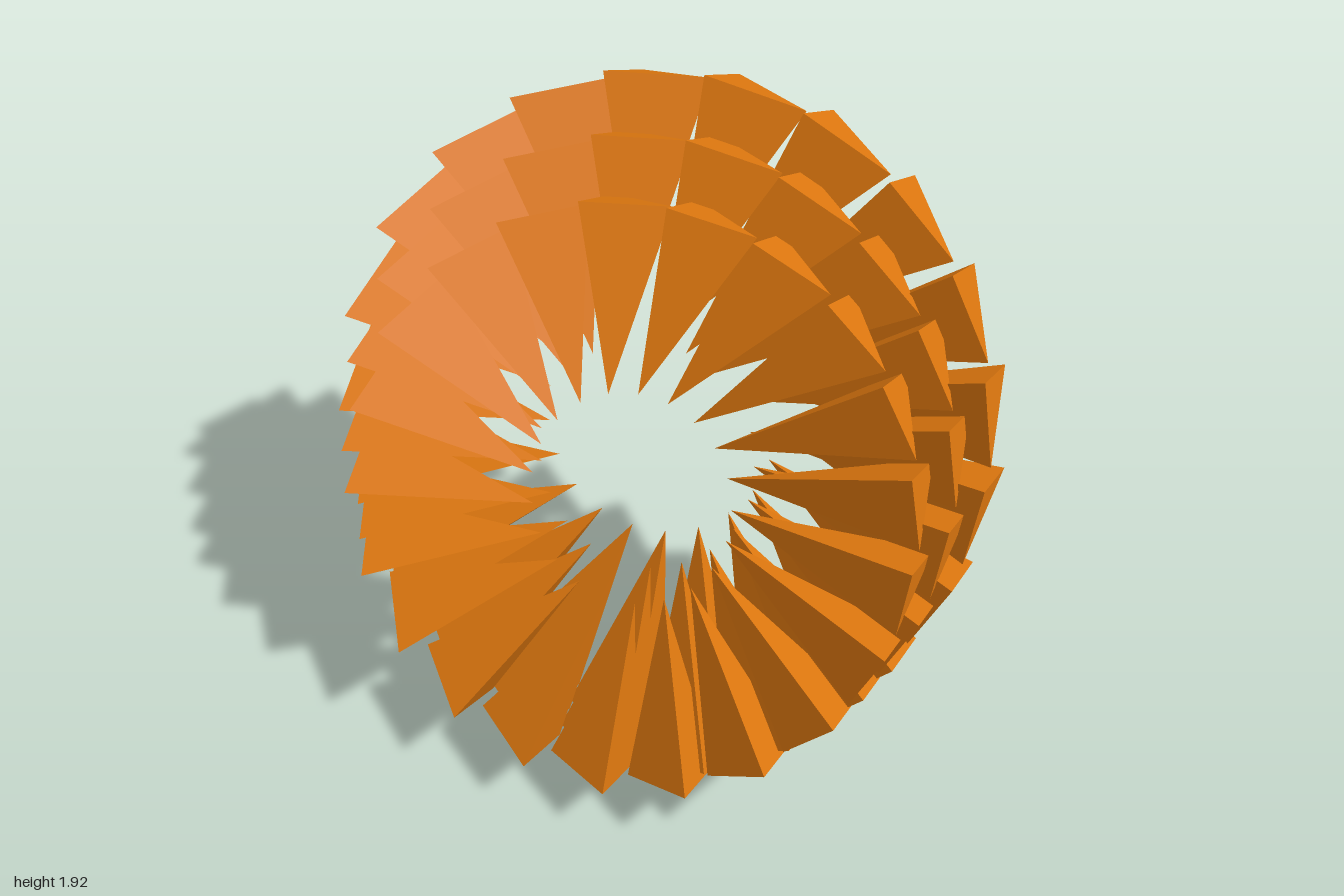
import * as THREE from 'three';

export function createModel() {
  const model = new THREE.Group();
  model.name = 'spikedWreath';
  const material = new THREE.MeshStandardMaterial({ color: 0xdf780f, flatShading: true });

  // Three-sided spike: base faces outwards, apex points in just beside the ring centre
  const baseRadius = 0.967, height = 0.63, count = 21;
  const spike = new THREE.ConeGeometry(0.174, height, 3, 1, false, -Math.PI / 2);
  spike.rotateZ(Math.PI);
  spike.translate(-0.1, baseRadius - height / 2, 0);

  // Three nested rings, shrinking towards the front: [name, x, y, z, scale]
  const rings = [
    ['backRing', -0.01, 0.94, 0.272, 1],
    ['middleRing', 0.015, 0.85, 0.415, 0.924],
    ['frontRing', 0.04, 0.76, 0.558, 0.848],
  ];
  for (const [name, x, y, z, scale] of rings) {
    const ring = new THREE.Group();
    ring.name = name;
    ring.position.set(x, y, z);
    ring.scale.setScalar(scale);
    for (let i = 0; i < count; i++) {
      const mesh = new THREE.Mesh(spike, material);
      mesh.name = 'spike';
      mesh.rotation.z = -0.21 - (i / count) * Math.PI * 2;
      ring.add(mesh);
    }
    model.add(ring);
  }

  // Whole wreath leans back
  model.rotation.x = THREE.MathUtils.degToRad(-23.4);
  const root = new THREE.Group();
  root.name = 'wreath';
  root.add(model);
  return root;
}
